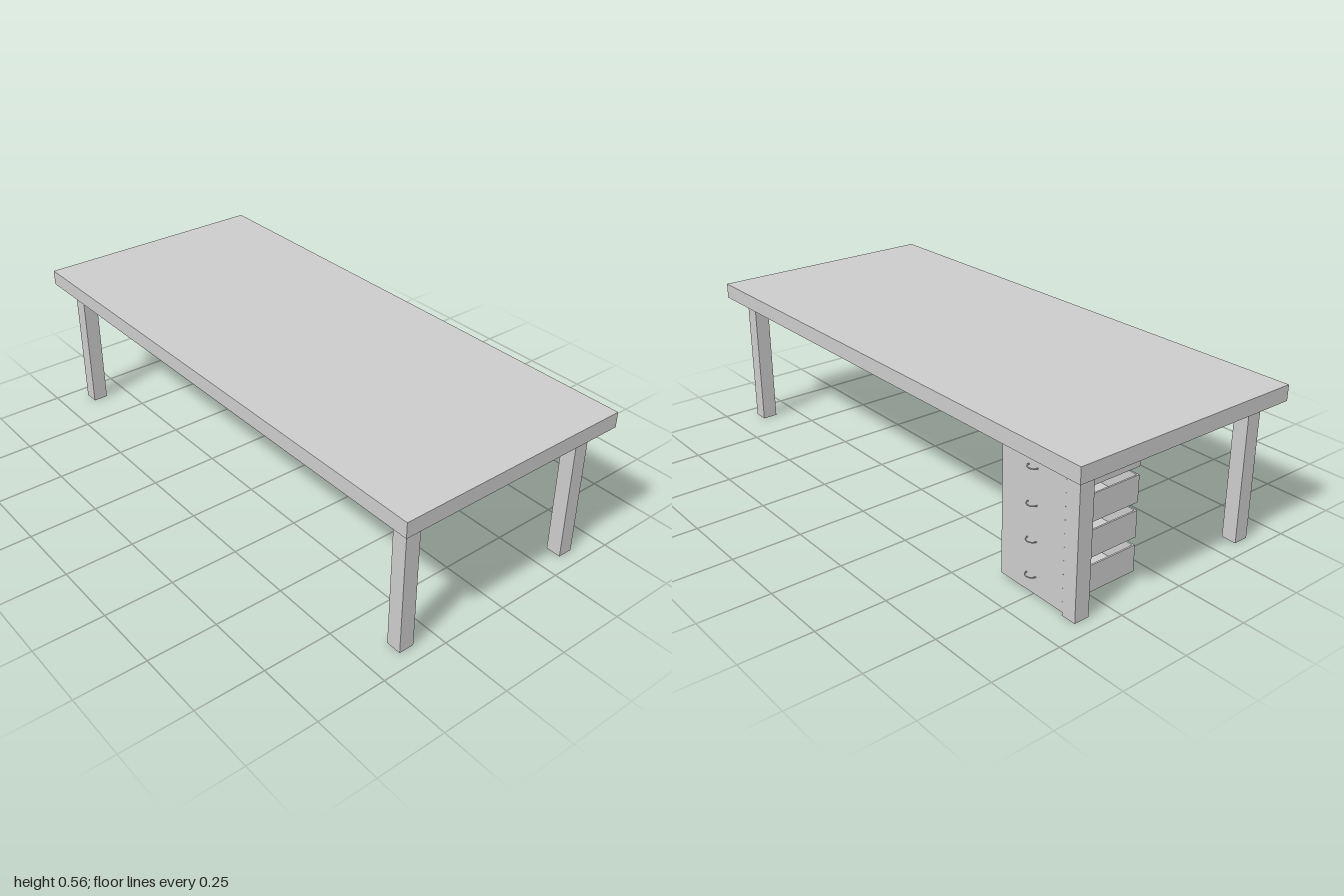
import * as THREE from 'three';

const material = new THREE.MeshStandardMaterial({ color: 0xcccccc, flatShading: true });
const smooth = new THREE.MeshStandardMaterial({ color: 0xcccccc });

// Box given by its lower and upper limits on each axis
function box(name, x0, x1, y0, y1, z0, z1) {
  const mesh = new THREE.Mesh(new THREE.BoxGeometry(x1 - x0, y1 - y0, z1 - z0), material);
  mesh.position.set((x0 + x1) / 2, (y0 + y1) / 2, (z0 + z1) / 2);
  mesh.name = name;
  return mesh;
}

// Corners of a rectangle centred on the origin
function rectangle(x, z) {
  return [[-x, -z], [x, -z], [x, z], [-x, z]].map(p => new THREE.Vector2(...p));
}

// Table top: a slab with a shallow recess underneath, bounded by a rim
function createTop() {
  const top = new THREE.Group();
  top.name = 'tableTop';
  const X = 1, Z = 0.4445, y0 = 0.5, y1 = 0.5275;
  top.add(box('slab', -X, X, y1, 0.5555, -Z, Z));

  const outline = new THREE.Shape(rectangle(X, Z));
  outline.holes.push(new THREE.Path(rectangle(0.889, 0.389)));
  const geometry = new THREE.ExtrudeGeometry(outline, { depth: y1 - y0, bevelEnabled: false });
  geometry.rotateX(-Math.PI / 2).translate(0, y0, 0);
  const frame = new THREE.Mesh(geometry, material);
  frame.name = 'rim';
  top.add(frame);
  return top;
}

// Open-topped drawer with its bow handle
function createDrawer(y) {
  const drawer = new THREE.Group();
  drawer.name = 'drawer';
  const x0 = -0.876, x1 = -0.623, z0 = -0.386, z1 = -0.0755, h = 0.0945, t = 0.006;
  drawer.add(
    box('drawerBottom', x0, x1, y, y + t, z0, z1),
    box('drawerSide', x0, x0 + t, y + t, y + h, z0, z1),
    box('drawerSide', x1 - t, x1, y + t, y + h, z0, z1),
    box('drawerEnd', x0 + t, x1 - t, y + t, y + h, z1 - t, z1),
  );
  const handle = new THREE.Mesh(new THREE.TorusGeometry(0.02, 0.0022, 8, 20, Math.PI), smooth);
  handle.rotation.x = -Math.PI / 2;
  handle.position.set(-0.75, y + 0.0515, -0.388);
  handle.name = 'handle';
  drawer.add(handle);
  return drawer;
}

export function createModel() {
  const desk = new THREE.Group();
  desk.name = 'desk';
  desk.add(createTop());

  // Four square legs under the rim
  for (const sx of [-1, 1]) {
    for (const sz of [-1, 1]) {
      const leg = box('leg', -0.0278, 0.0278, 0, 0.5, -0.0278, 0.0278);
      leg.position.x = sx * 0.9167;
      leg.position.z = sz * 0.3611;
      desk.add(leg);
    }
  }

  // Drawer stack behind a single thin panel on the back right
  desk.add(box('drawerPanel', -0.889, -0.611, 0.012, 0.5, -0.389, -0.386));
  for (let i = 0; i < 4; i++) desk.add(createDrawer(0.022 + i * 0.1222));
  return desk;
}
